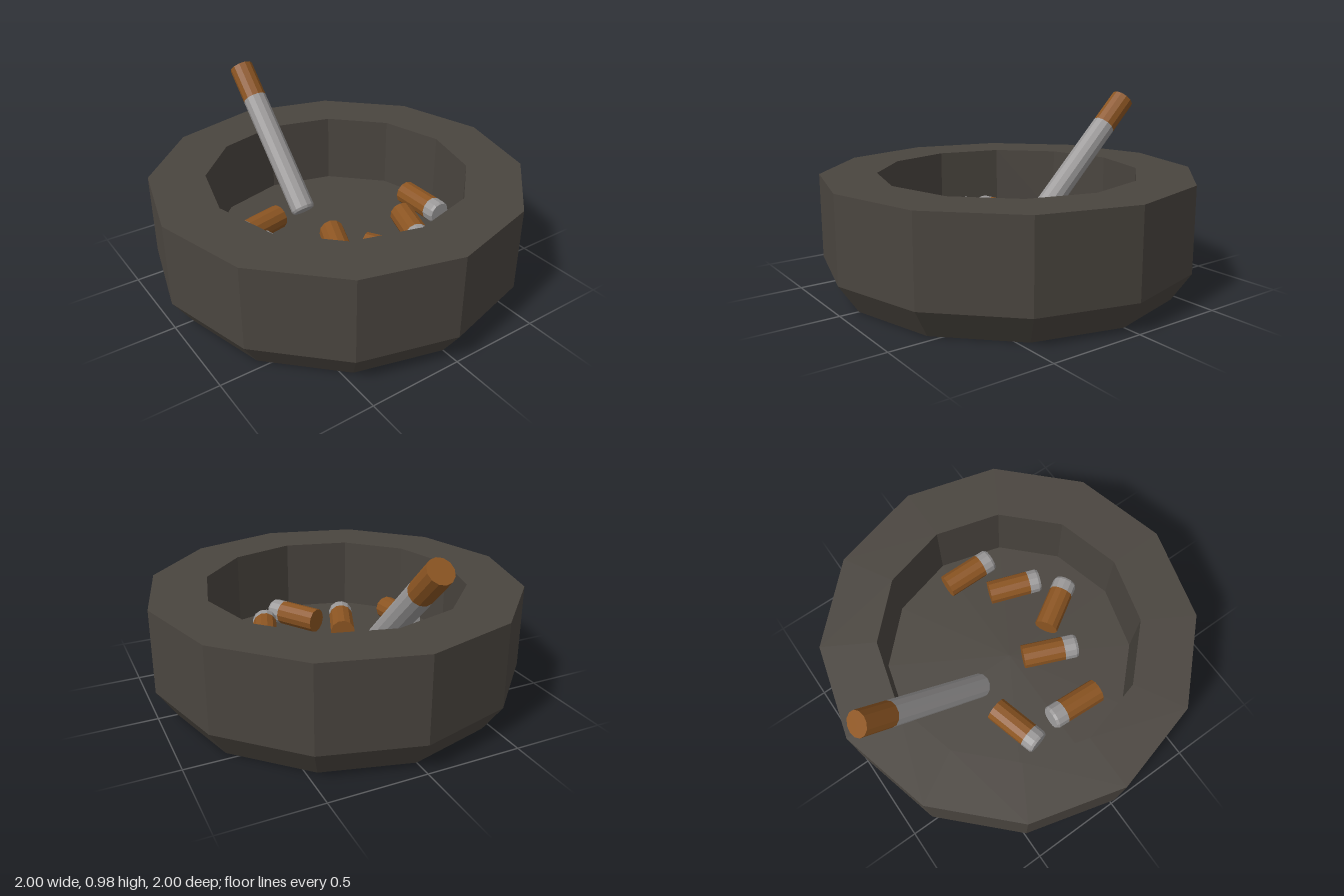
import * as THREE from 'three';

const mat = (name, color) => {
  const m = new THREE.MeshStandardMaterial({ color, flatShading: true });
  m.name = name;
  return m;
};

const R = 0.068; // cigarette radius
const SIDES = 12;

export function createModel() {
  const stone = mat('dark stone', 0x4a453f);
  const cork = mat('cork brown', 0x8c5522);
  const paper = mat('paper grey', 0x9a9898);

  const model = new THREE.Group();
  model.name = 'ashtray';

  // Twelve-sided bowl with a chamfered foot and straight inner walls
  const profile = [[0, 0], [0.9, 0], [1, 0.15], [1, 0.6], [0.7, 0.6], [0.7, 0.2], [0, 0.2]]
    .map(([x, y]) => new THREE.Vector2(x, y));
  const bowl = new THREE.Mesh(new THREE.LatheGeometry(profile, 12), stone);
  bowl.name = 'bowl';
  model.add(bowl);

  // Closed cylinder from a lathe outline given as [radius, height] pairs
  const turned = (name, outline, material) => {
    const pts = outline.map(([r, y]) => new THREE.Vector2(r, y));
    const mesh = new THREE.Mesh(new THREE.LatheGeometry(pts, SIDES), material);
    mesh.name = name;
    return mesh;
  };

  // Cigarette running from its paper end to its filter end
  const addCigarette = (name, paperEnd, filterEnd, filterLength) => {
    const a = new THREE.Vector3(...paperEnd);
    const axis = new THREE.Vector3(...filterEnd).sub(a);
    const length = axis.length();
    const joint = length - filterLength;
    const g = new THREE.Group();
    g.name = name;
    g.add(turned('paper', [[0, 0], [R * 0.88, 0], [R, 0.014], [R, joint]], paper));
    g.add(turned('filter', [[R, joint], [R, length], [0, length]], cork));
    g.position.copy(a);
    g.quaternion.setFromUnitVectors(new THREE.Vector3(0, 1, 0), axis.normalize());
    model.add(g);
  };

  // Long cigarette leaning on the back rim
  addCigarette('leaningCigarette', [-0.07, 0.26, -0.24], [-0.07, 0.931, -0.908], 0.21);

  // Stubbed butts lying on the floor of the bowl: paper end, filter end
  const y = 0.2 + R;
  [
    [[-0.525, y + 0.01, -0.175], [-0.23, y, -0.255]],
    [[-0.457, y + 0.035, -0.045], [-0.468, y, 0.265]],
    [[-0.19, y, 0.335], [-0.07, y, 0.045]],
    [[0.165, y, 0.52], [0, y, 0.258]],
    [[0.267, y, 0.4], [0.365, y, 0.115]],
    [[0.542, y, 0.24], [0.542, y, -0.065]],
  ].forEach(([p, f], i) => addCigarette('butt' + (i + 1), p, f, 0.235));

  return model;
}
